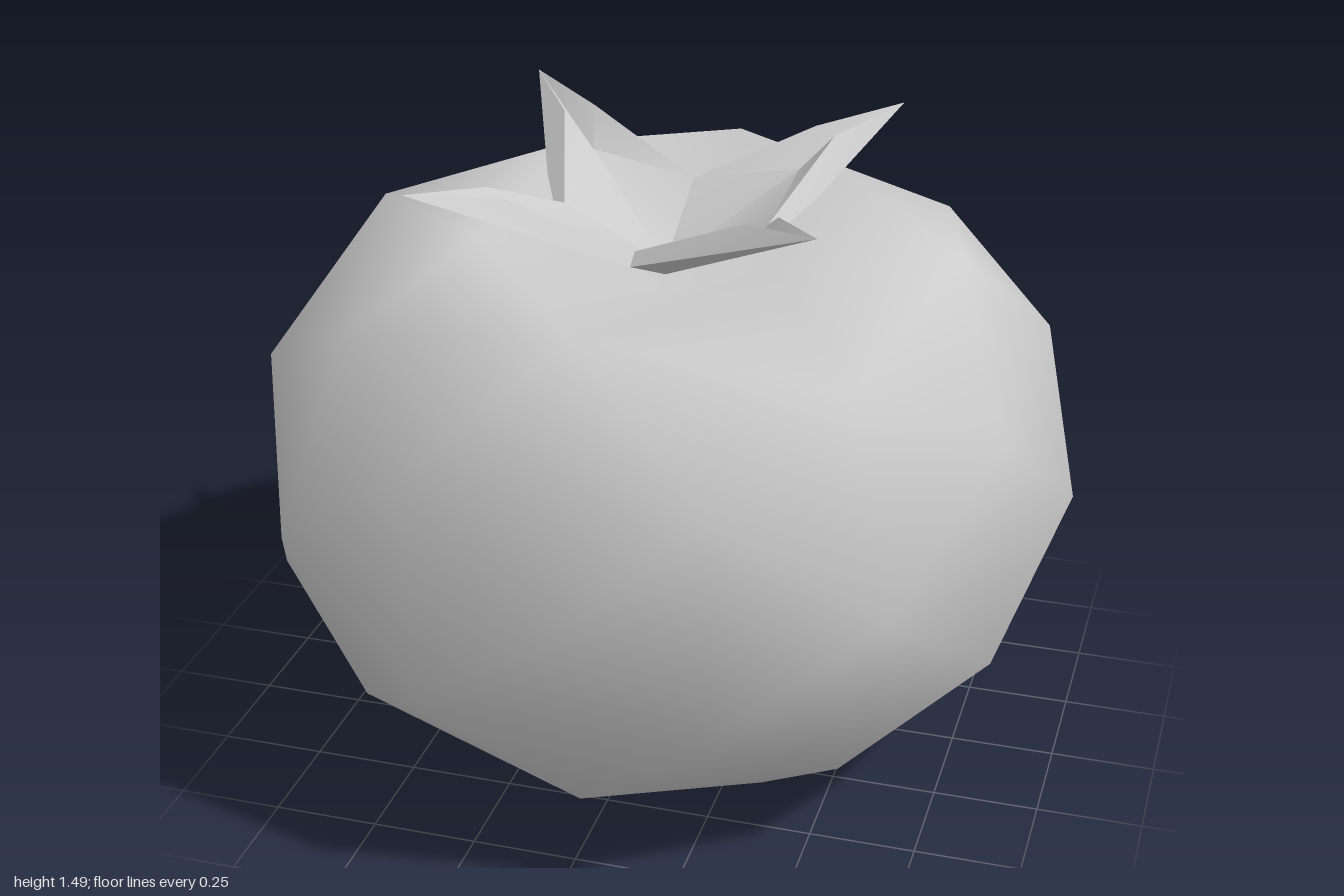
import * as THREE from 'three';
import { mergeVertices, toCreasedNormals } from 'three/addons/utils/BufferGeometryUtils.js';

function fromTriangles(tris) {
  const g = new THREE.BufferGeometry();
  g.setAttribute('position', new THREE.Float32BufferAttribute(tris.flat(2), 3));
  return g;
}

// Squashes the unit sphere and presses in its top and bottom
function squash([x, y, z]) {
  if (y > 0.95) return [x, 1.12, z];
  if (y < -0.95) return [x, 0, z];
  if (y > 0.8) return [x, 1.355, z];
  if (y < -0.8) return [x, 0.012, z];
  return [x, 0.72 + 0.82 * y, z];
}

// Coarse ball of quads around the six axis points
function bodyGeometry() {
  const tris = [];
  const add = (a, b, c) => {
    const [A, B, C] = [a, b, c].map((p) => new THREE.Vector3(...p));
    const n = B.clone().sub(A).cross(C.clone().sub(A));
    const t = n.dot(A.add(B).add(C)) > 0 ? [a, b, c] : [a, c, b];
    tris.push(t.map(squash));
  };
  for (let k = 0; k < 3; k++) for (const s of [-1, 1]) {
    for (let m = 0; m < 3; m++) if (m !== k) for (const u of [-1, 1]) {
      const n = 3 - k - m;
      const point = (pk, pm, pn) => {
        const p = [0, 0, 0];
        p[k] = s * pk; p[m] = u * pm; p[n] = pn;
        return p;
      };
      const face = point(1, 0, 0), edge = point(0.707, 0.707, 0);
      const inner = [-1, 1].map((w) => point(0.877, 0.342, 0.342 * w));
      const corner = [-1, 1].map((w) => point(0.577, 0.577, 0.577 * w));
      // the hollow at the top opens towards front and back
      if (k === 1 && s === 1 && m === 2) {
        add(face, edge, inner[0]);
        add(face, edge, inner[1]);
      } else {
        add(inner[0], inner[1], face);
        add(inner[0], inner[1], edge);
      }
      for (const i of [0, 1]) add(corner[i], edge, inner[i]);
    }
  }
  const g = mergeVertices(fromTriangles(tris), 1e-3);
  g.computeVertexNormals();
  return g;
}

// One pointed leaf with raised edges and sloping sides
function leafGeometry() {
  const hub = [0, 1.2, 0], base = [0, 1.17, 0], tip = [0.47, 1.49, 0.47], rib = [0.26, 1.37, 0.26];
  const tris = [];
  const swap = ([x, y, z]) => [z, y, x];
  const half = [
    [hub, [0, 1.325, 0.25], rib],
    [rib, [0, 1.325, 0.25], [0.28, 1.455, 0.34]],
    [rib, [0.28, 1.455, 0.34], tip],
    [[0, 1.325, 0.25], [0, 1.3, 0.285], [0.28, 1.455, 0.34]],
    [[0.28, 1.455, 0.34], [0, 1.3, 0.285], tip],
    [base, tip, [0, 1.3, 0.285]],
  ];
  for (const [a, b, c] of half) {
    tris.push([a, b, c], [swap(a), swap(c), swap(b)]);
  }
  return toCreasedNormals(fromTriangles(tris), 0.6);
}

export function createModel() {
  const group = new THREE.Group();
  const material = new THREE.MeshStandardMaterial({ color: 0xcccccc });
  const leafMaterial = new THREE.MeshStandardMaterial({ color: 0xcccccc, side: THREE.DoubleSide });

  const body = new THREE.Mesh(bodyGeometry(), material);
  body.name = 'fruitBody';
  group.add(body);

  // Four leaves mirrored around the stem end
  const leaves = new THREE.Group();
  leaves.name = 'leaves';
  const geometry = leafGeometry();
  for (const sx of [-1, 1]) for (const sz of [-1, 1]) {
    const leaf = new THREE.Mesh(geometry, leafMaterial);
    leaf.name = 'leaf';
    leaf.scale.set(sx, 1, sz);
    leaves.add(leaf);
  }
  group.add(leaves);
  return group;
}
